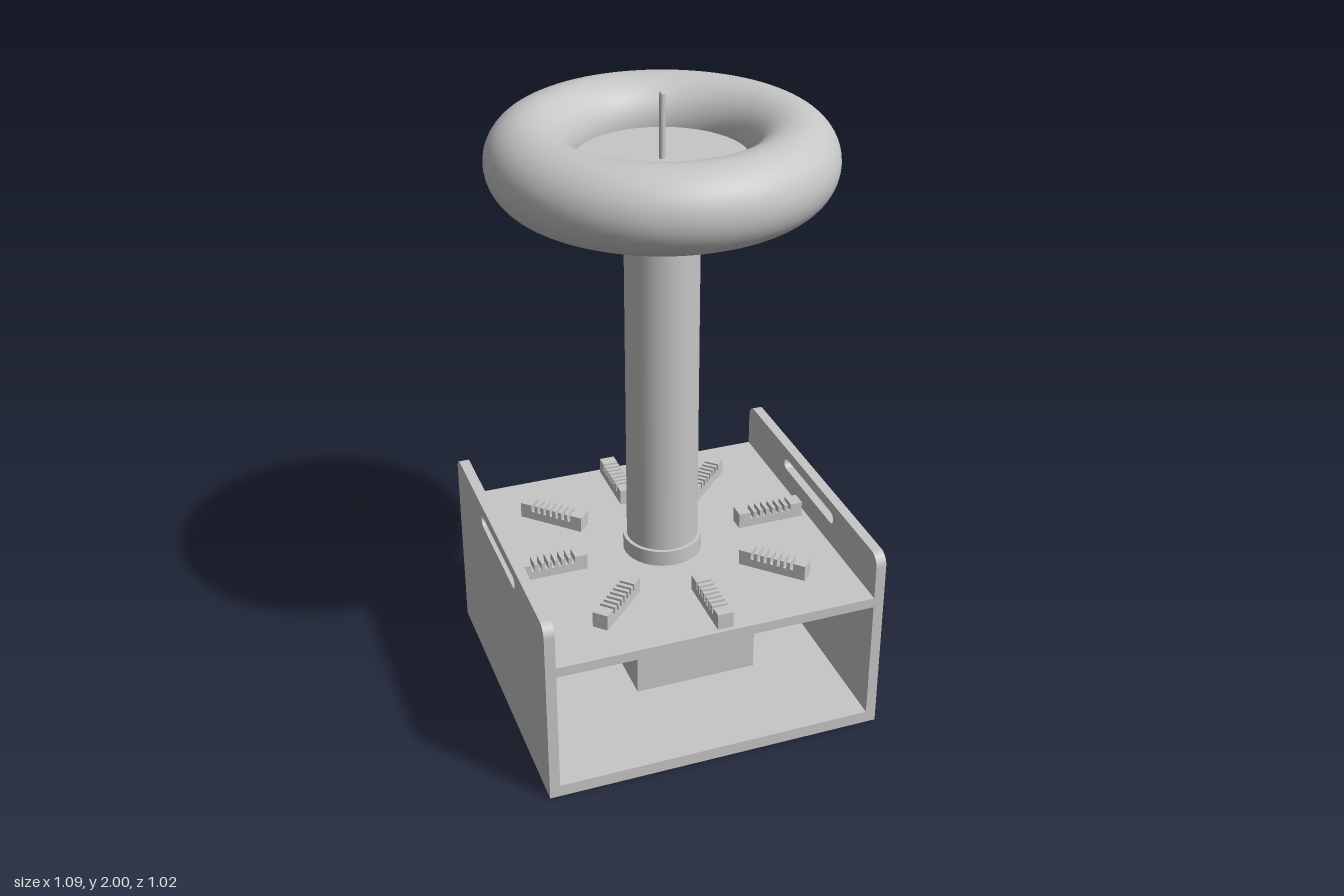
import * as THREE from 'three';

const SHELF_TOP = 0.483, SHELF_BOTTOM = 0.45, HALF_DEPTH = 0.505, INNER_X = 0.51, OUTER_X = 0.543;

function addMesh(parent, name, geometry, material, x = 0, y = 0, z = 0) {
  const mesh = new THREE.Mesh(geometry, material);
  mesh.name = name;
  mesh.position.set(x, y, z);
  parent.add(mesh);
  return mesh;
}

function cylinder(radius, bottom, top, segments = 64) {
  return new THREE.CylinderGeometry(radius, radius, top - bottom, segments).translate(0, (top + bottom) / 2, 0);
}

// Side panel with rounded top corners and a pill-shaped hand slot
function sidePanelGeometry() {
  const h = 0.635, d = HALF_DEPTH, r = 0.04;
  const shape = new THREE.Shape();
  shape.moveTo(-d, 0);
  shape.lineTo(d, 0);
  shape.lineTo(d, h - r);
  shape.absarc(d - r, h - r, r, 0, Math.PI / 2);
  shape.lineTo(-d + r, h);
  shape.absarc(-d + r, h - r, r, Math.PI / 2, Math.PI);
  shape.closePath();
  const slot = new THREE.Path(), sr = 0.02, sx = 0.175, sy = 0.578;
  slot.moveTo(-sx, sy - sr);
  slot.lineTo(sx, sy - sr);
  slot.absarc(sx, sy, sr, -Math.PI / 2, Math.PI / 2);
  slot.lineTo(-sx, sy + sr);
  slot.absarc(-sx, sy, sr, Math.PI / 2, Math.PI * 1.5);
  shape.holes.push(slot);
  const width = OUTER_X - INNER_X;
  return new THREE.ExtrudeGeometry(shape, { depth: width, bevelEnabled: false, curveSegments: 10 })
    .rotateY(-Math.PI / 2).translate(width / 2, 0, 0);
}

// Shelf with a narrow radial slit below each coil support
function shelfGeometry() {
  const x = INNER_X, d = HALF_DEPTH;
  const shape = new THREE.Shape([[-x, -d], [x, -d], [x, d], [-x, d]].map(p => new THREE.Vector2(...p)));
  for (let i = 0; i < 8; i++) {
    const origin = new THREE.Vector2();
    const corners = [[0.34, 0.019], [0.42, 0.019], [0.42, 0.031], [0.34, 0.031]]
      .map(p => new THREE.Vector2(...p).rotateAround(origin, i * Math.PI / 4));
    shape.holes.push(new THREE.Path(corners));
  }
  return new THREE.ExtrudeGeometry(shape, { depth: SHELF_TOP - SHELF_BOTTOM, bevelEnabled: false })
    .rotateX(-Math.PI / 2).translate(0, SHELF_BOTTOM, 0);
}

// Comb-shaped block with notches along its top
function coilSupportGeometry() {
  const inner = 0.268, outer = 0.49, h = 0.052, notch = 0.01, pitch = 0.022;
  const shape = new THREE.Shape();
  shape.moveTo(inner, 0);
  shape.lineTo(outer, 0);
  shape.lineTo(outer, h);
  for (let i = 6; i >= 0; i--) {
    const start = 0.308 + i * pitch;
    shape.lineTo(start + notch, h);
    shape.lineTo(start + notch, h - 0.024);
    shape.lineTo(start, h - 0.024);
    shape.lineTo(start, h);
  }
  shape.lineTo(inner, h);
  shape.closePath();
  return new THREE.ExtrudeGeometry(shape, { depth: 0.05, bevelEnabled: false }).translate(0, 0, -0.05);
}

export function createModel() {
  const model = new THREE.Group();
  model.name = 'highVoltageCoil';
  const grey = new THREE.MeshStandardMaterial({ color: 0xc6c6c6 });
  grey.name = 'plain grey';

  // Cabinet
  const cabinet = new THREE.Group();
  cabinet.name = 'cabinet';
  model.add(cabinet);
  const panel = sidePanelGeometry();
  const panelX = (INNER_X + OUTER_X) / 2;
  addMesh(cabinet, 'leftPanel', panel, grey, panelX);
  addMesh(cabinet, 'rightPanel', panel, grey, -panelX);
  addMesh(cabinet, 'floor', new THREE.BoxGeometry(2 * INNER_X, 0.04, 2 * HALF_DEPTH), grey, 0, 0.02, 0);
  addMesh(cabinet, 'shelf', shelfGeometry(), grey);

  // Open-topped case standing on the floor
  const tray = new THREE.Group();
  tray.name = 'openCase';
  tray.position.set(0.06, 0.04, -0.085);
  model.add(tray);
  const w = 0.405, d = 0.49, h = 0.2, t = 0.008;
  addMesh(tray, 'caseBase', new THREE.BoxGeometry(w, t, d), grey, 0, t / 2, 0);
  for (const s of [-1, 1]) {
    addMesh(tray, 'caseSide', new THREE.BoxGeometry(t, h, d), grey, s * (w - t) / 2, h / 2, 0);
    addMesh(tray, 'caseEnd', new THREE.BoxGeometry(w - 2 * t, h, t), grey, 0, h / 2, s * (d - t) / 2);
  }

  // Ring of eight coil supports
  const support = coilSupportGeometry();
  for (let i = 0; i < 8; i++) {
    addMesh(model, 'coilSupport', support, grey, 0, SHELF_TOP, 0).rotation.y = -i * Math.PI / 4;
  }

  // Column and its collars
  addMesh(model, 'column', cylinder(0.113, SHELF_TOP, 1.77), grey);
  addMesh(model, 'lowerCollar', cylinder(0.125, SHELF_TOP, 0.535), grey);
  addMesh(model, 'upperCollar', cylinder(0.125, 1.72, 1.772), grey);

  // Ring electrode, its centre plate and the discharge rod
  addMesh(model, 'ringElectrode', new THREE.TorusGeometry(0.385, 0.125, 48, 96).rotateX(Math.PI / 2), grey, 0, 1.805, 0);
  addMesh(model, 'centrePlate', cylinder(0.256, 1.772, 1.802, 96), grey);
  addMesh(model, 'dischargeRod', cylinder(0.009, 1.802, 1.991, 20), grey);
  addMesh(model, 'rodTip', new THREE.SphereGeometry(0.009, 20, 10), grey, 0, 1.991, 0);

  return model;
}
